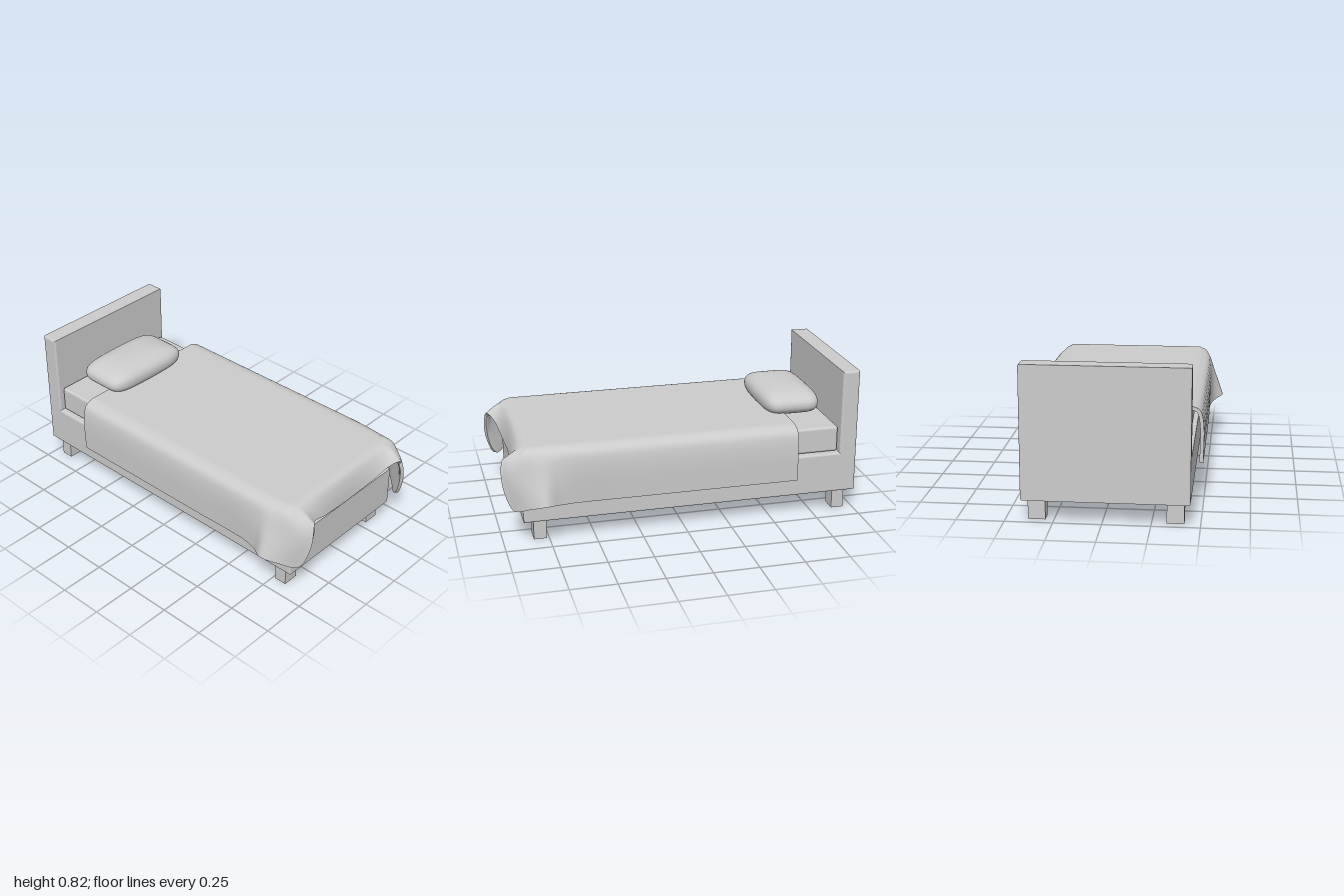
import * as THREE from 'three';
import { mergeVertices } from 'three/addons/utils/BufferGeometryUtils.js';
import { RoundedBoxGeometry } from 'three/addons/geometries/RoundedBoxGeometry.js';

const CX = -0.016; // centre line of the bed
const material = new THREE.MeshStandardMaterial({ color: 0xcccccc });
const clothMaterial = new THREE.MeshStandardMaterial({ color: 0xcccccc, side: THREE.DoubleSide });

function addMesh(group, name, geometry, x, y, z, mat = material) {
  const mesh = new THREE.Mesh(geometry, mat);
  mesh.name = name;
  mesh.position.set(x, y, z);
  group.add(mesh);
  return mesh;
}

// L-shaped side profile (z, y) swept across the width: base and headboard in one piece
function frameGeometry() {
  const b = 0.01, width = 0.866;
  const shape = new THREE.Shape([
    [-1 + b, 0.115 + b], [0.888 - b, 0.115 + b], [0.888 - b, 0.345 - b],
    [-0.903 - b, 0.345 - b], [-0.903 - b, 0.822 - b], [-1 + b, 0.822 - b],
  ].map(([z, y]) => new THREE.Vector2(z, y)));
  const g = new THREE.ExtrudeGeometry(shape, {
    depth: width - 2 * b, bevelThickness: b, bevelSize: b, bevelSegments: 3,
  });
  g.translate(0, 0, -(width / 2 - b));
  g.rotateY(-Math.PI / 2);
  return g;
}

// Sphere squared off in plan and slightly flattened into a cushion
function pillowGeometry() {
  const g = new THREE.SphereGeometry(1, 48, 24);
  const p = g.attributes.position;
  const pow = (v, e) => Math.sign(v) * Math.abs(v) ** e;
  for (let i = 0; i < p.count; i++) {
    const y = p.getY(i);
    const r = Math.sqrt(Math.max(0, 1 - y * y));
    const a = Math.atan2(p.getZ(i), p.getX(i));
    const c = pow(Math.cos(a), 0.36), s = pow(Math.sin(a), 0.36);
    const spread = r ** 0.8;
    p.setXYZ(i, 0.28 * c * spread, 0.08 * pow(y, 0.85), 0.165 * s * spread * (1 - 0.06 * c * c));
  }
  g.deleteAttribute('uv');
  g.deleteAttribute('normal');
  const merged = mergeVertices(g, 1e-5);
  merged.computeVertexNormals();
  return merged;
}

// Cloth cross-sections from the back of one side, round the corner, to the front centre.
// Each holds: top edge, shoulder, middle of the drop, hem.
const straight = (z) => [[0.41, 0.54, z], [0.465, 0.515, z], [0.485, 0.44, z], [0.485, 0.23, z]];
const halfSections = [
  straight(-0.635), straight(-0.2), straight(0.25), straight(0.6),
  [[0.41, 0.54, 0.7], [0.463, 0.513, 0.7], [0.487, 0.43, 0.7], [0.507, 0.236, 0.69]],
  [[0.41, 0.54, 0.79], [0.46, 0.507, 0.79], [0.502, 0.4, 0.785], [0.555, 0.252, 0.78]],
  [[0.41, 0.54, 0.83], [0.45, 0.51, 0.86], [0.475, 0.38, 0.885], [0.505, 0.225, 0.865]],
  [[0.405, 0.54, 0.845], [0.435, 0.512, 0.885], [0.44, 0.4, 0.945], [0.435, 0.197, 0.94]],
  [[0.395, 0.54, 0.85], [0.41, 0.515, 0.895], [0.41, 0.45, 0.965], [0.402, 0.34, 0.993]],
  [[0.375, 0.54, 0.85], [0.38, 0.523, 0.895], [0.377, 0.5, 0.94], [0.373, 0.468, 0.985]],
  [[0.33, 0.54, 0.85], [0.33, 0.522, 0.887], [0.327, 0.49, 0.92], [0.322, 0.448, 0.95]],
  [[0.2, 0.54, 0.85], [0.2, 0.518, 0.882], [0.2, 0.465, 0.908], [0.2, 0.402, 0.925]],
  [[0, 0.54, 0.85], [0, 0.518, 0.88], [0, 0.455, 0.902], [0, 0.378, 0.912]],
];

function blanketGeometry() {
  const mirrored = halfSections.slice(0, -1).reverse()
    .map((sec) => sec.map(([x, y, z]) => [-x, y, z]));
  const sections = [...halfSections, ...mirrored];
  const rails = [0, 1, 2, 3].map((k) => new THREE.CatmullRomCurve3(
    sections.map((sec) => new THREE.Vector3(...sec[k]))));

  const M = 144, drop = 12, N = drop + 2, thickness = 0.02;
  const pts = [];
  for (let i = 0; i <= M; i++) {
    const knots = rails.map((rail) => rail.getPoint(i / M));
    const centre = new THREE.Vector3(0, 0.54, Math.min(knots[0].z, 0.5));
    pts.push(centre, centre.clone().lerp(knots[0], 0.94));
    const profile = new THREE.CatmullRomCurve3(knots);
    for (let j = 0; j <= drop; j++) pts.push(profile.getPoint(j / drop));
  }
  const id = (i, j) => i * (N + 1) + j;
  const outerIndex = [];
  for (let i = 0; i < M; i++) {
    for (let j = 0; j < N; j++) {
      const a = id(i, j), b = id(i + 1, j), c = id(i, j + 1), d = id(i + 1, j + 1);
      outerIndex.push(a, b, c, b, d, c);
    }
  }
  const outer = new THREE.BufferGeometry().setFromPoints(pts);
  outer.setIndex(outerIndex);
  outer.computeVertexNormals();

  // Lining: the same sheet moved inwards
  const normal = new THREE.Vector3();
  const lining = pts.map((p, i) => {
    normal.fromBufferAttribute(outer.attributes.normal, i);
    return p.clone().addScaledVector(normal, -thickness);
  });
  const inner = new THREE.BufferGeometry().setFromPoints(lining);
  inner.setIndex(outerIndex.slice().reverse());
  inner.computeVertexNormals();

  // Hem strip joining both sheets
  const loop = [];
  for (let j = 0; j < N; j++) loop.push(id(0, j));
  for (let i = 0; i < M; i++) loop.push(id(i, N));
  for (let j = N; j >= 0; j--) loop.push(id(M, j));
  const strip = [];
  for (let k = 0; k < loop.length - 1; k++) {
    const a = loop[k], b = loop[k + 1];
    strip.push(pts[a], pts[b], lining[a], pts[b], lining[b], lining[a]);
  }
  const hem = new THREE.BufferGeometry().setFromPoints(strip);
  hem.computeVertexNormals();
  return { outer, inner, hem };
}

export function createModel() {
  const bed = new THREE.Group();
  bed.name = 'bed';

  addMesh(bed, 'frameAndHeadboard', frameGeometry(), CX, 0, 0);
  addMesh(bed, 'mattress', new RoundedBoxGeometry(0.82, 0.148, 1.755, 3, 0.015), CX, 0.424, -0.0175);
  addMesh(bed, 'pillow', pillowGeometry(), -0.035, 0.578, -0.697);

  // Four square legs
  for (const side of [-1, 1]) {
    for (const [end, z] of [['front', 0.799], ['back', -0.914]]) {
      const name = end + (side > 0 ? 'Left' : 'Right') + 'Leg';
      addMesh(bed, name, new THREE.BoxGeometry(0.09, 0.125, 0.07), CX + side * 0.356, 0.0625, z);
    }
  }

  // Draped blanket
  const blanket = new THREE.Group();
  blanket.name = 'blanket';
  const cloth = blanketGeometry();
  addMesh(blanket, 'blanketTop', cloth.outer, 0, 0, 0);
  addMesh(blanket, 'blanketLining', cloth.inner, 0, 0, 0);
  addMesh(blanket, 'blanketHem', cloth.hem, 0, 0, 0, clothMaterial);
  blanket.position.x = CX + 0.004;
  bed.add(blanket);

  return bed;
}
